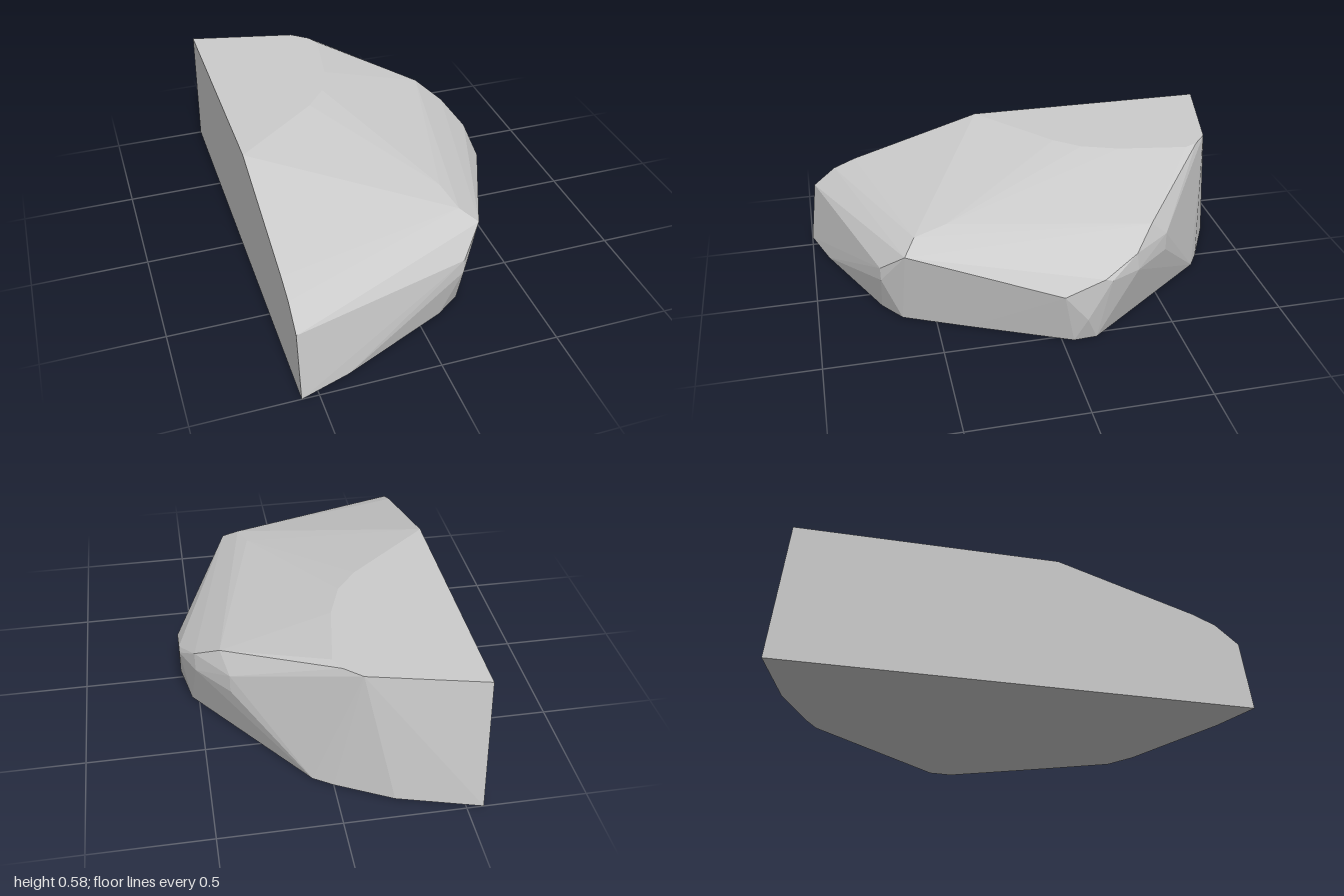
import * as THREE from 'three';
import { ConvexGeometry } from 'three/addons/geometries/ConvexGeometry.js';

const HEIGHT = 0.585;
const CUT_X = -0.57;

// Flat cut side, as [z, y]
const cutFace = [[1, 0], [0.96, 0.29], [0.86, 0.37], [0.76, 0.41], [0.17, HEIGHT], [-0.93, HEIGHT], [-1, 0]];

// Flat top outline, as [x, z]
const topFace = [[-0.2, -0.13], [-0.11, -0.24], [-0.05, -0.4], [0, -0.7], [-0.03, -0.76], [-0.1, -0.82]];

// Flat base outline, as [x, z]
const baseFace = [
  [-0.36, 0.93], [0.1, 0.72], [0.14, 0.69], [0.21, 0.64], [0.29, 0.46], [0.34, 0.37],
  [0.535, -0.05], [0.53, -0.15], [0.08, -0.74], [0, -0.79], [-0.23, -0.905],
];

// Worn corners between base and top, as [x, y, z]
const corners = [
  [0.2, 0.2, 0.72], [0.2, 0.26, 0.72], [0.3, 0.36, 0.62], [0.23, 0.41, 0.57], [0.2, 0.44, 0.43],
  [0.57, 0.245, 0], [0.57, 0.12, -0.1], [0.57, 0.3, -0.2], [0.57, 0.31, -0.17],
  [0.51, 0.38, -0.32], [0.51, 0.3, -0.33], [0.41, 0.455, -0.41], [0.38, 0.38, -0.49], [0.38, 0.3, -0.49],
];

export function createModel() {
  const points = [
    ...cutFace.map(([z, y]) => new THREE.Vector3(CUT_X, y, z)),
    ...topFace.map(([x, z]) => new THREE.Vector3(x, HEIGHT, z)),
    ...baseFace.map(([x, z]) => new THREE.Vector3(x, 0, z)),
    ...corners.map((p) => new THREE.Vector3(...p)),
  ];

  // The boulder is the convex hull of its corners
  const rock = new THREE.Mesh(
    new ConvexGeometry(points),
    new THREE.MeshStandardMaterial({ color: 0xcccccc, flatShading: true }),
  );
  rock.name = 'rock';

  const group = new THREE.Group();
  group.name = 'cutRock';
  group.add(rock);
  return group;
}
